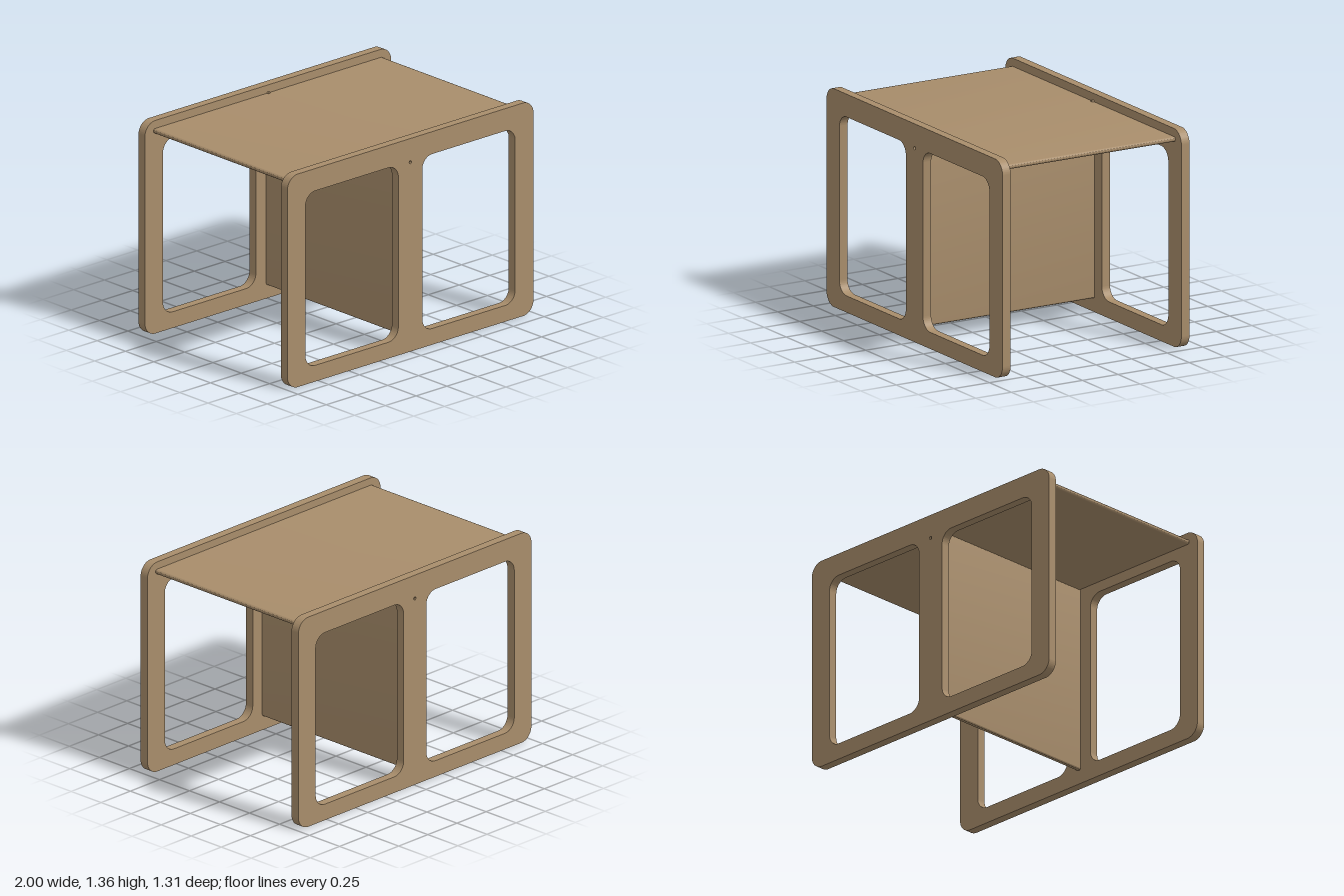
import * as THREE from 'three';
import { toCreasedNormals } from 'three/addons/utils/BufferGeometryUtils.js';

const wood = new THREE.MeshStandardMaterial({ color: 0xa88d6b });

// Trace a rounded rectangle into a Shape or Path
function roundedRect(path, x0, y0, x1, y1, r) {
  path.moveTo(x0 + r, y0);
  path.absarc(x1 - r, y0 + r, r, -Math.PI / 2, 0);
  path.absarc(x1 - r, y1 - r, r, 0, Math.PI / 2);
  path.absarc(x0 + r, y1 - r, r, Math.PI / 2, Math.PI);
  path.absarc(x0 + r, y0 + r, r, Math.PI, Math.PI * 1.5);
  path.closePath();
  return path;
}

// Extrude a shape along z, keeping hard edges sharp and corners smooth
function slab(name, shape, z0, z1) {
  const geo = new THREE.ExtrudeGeometry(shape, {
    depth: z1 - z0, bevelEnabled: false, curveSegments: 12,
  });
  geo.translate(0, 0, z0);
  const mesh = new THREE.Mesh(toCreasedNormals(geo, 0.6), wood);
  mesh.name = name;
  return mesh;
}

// End frame: rounded board with two windows and a small peg hole
function frameShape(dy) {
  const shape = roundedRect(new THREE.Shape(), -1, dy, 1, 1.355 + dy, 0.085);
  for (const [x0, x1] of [[-0.853, -0.098], [0.096, 0.851]]) {
    shape.holes.push(roundedRect(new THREE.Path(), x0, 0.103 + dy, x1, 1.213 + dy, 0.08));
  }
  const hole = new THREE.Path();
  hole.absarc(0, 1.204 + dy, 0.01, 0, Math.PI * 2);
  shape.holes.push(hole);
  return shape;
}

export function createModel() {
  const group = new THREE.Group();
  group.name = 'sideTable';

  // End frames
  group.add(slab('frontFrame', frameShape(0), 0.6, 0.657));
  group.add(slab('backFrame', frameShape(0.004), -0.657, -0.6));

  // Table top and upright divider, with softened edges
  const top = roundedRect(new THREE.Shape(), -0.93, 1.279, 0.93, 1.308, 0.012);
  group.add(slab('topPanel', top, -0.6, 0.6));
  const divider = roundedRect(new THREE.Shape(), -0.015, 0.09, 0.015, 1.279, 0.012);
  group.add(slab('centrePanel', divider, -0.6, 0.6));

  // Small peg end where the top meets the back frame
  const peg = new THREE.Mesh(new THREE.CylinderGeometry(0.01, 0.01, 0.02, 16), wood);
  peg.name = 'peg';
  peg.rotation.x = Math.PI / 2;
  peg.position.set(0, 1.308, -0.597);
  group.add(peg);

  return group;
}
